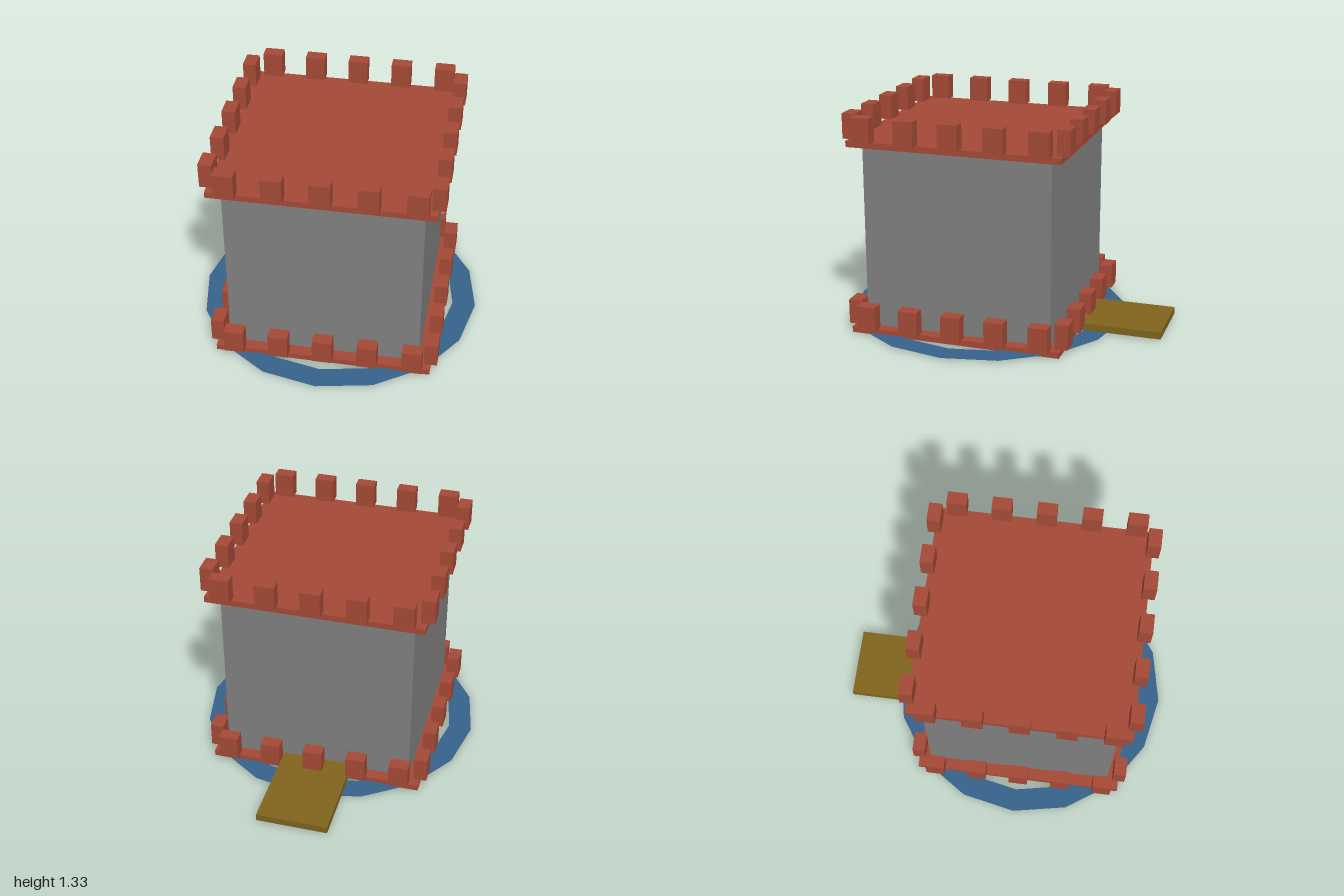
import * as THREE from 'three';

const CZ = 0.143; // tower centre along z

const mat = (color, extra = {}) =>
  new THREE.MeshStandardMaterial({ color, flatShading: true, ...extra });

// Box given by its centre, with y as the underside
function box(name, material, w, h, d, x, y, z) {
  const mesh = new THREE.Mesh(new THREE.BoxGeometry(w, h, d), material);
  mesh.name = name;
  mesh.position.set(x, y + h / 2, z);
  return mesh;
}

// Square slab with five merlons along each edge
function battlement(name, material) {
  const group = new THREE.Group();
  group.name = name;
  group.add(box('slab', material, 1.284, 0.036, 1.284, 0, 0, 0));
  const edge = 0.642, w = 0.117, t = 0.078, h = 0.149, y = 0.036;
  for (let i = -2; i <= 2; i++) {
    const along = 0.006 + i * 0.2655;
    for (const side of [-1, 1]) {
      group.add(box('merlon', material, w, h, t, along, y, side * edge));
      group.add(box('merlon', material, t, h, w, side * edge, y, along));
    }
  }
  return group;
}

export function createModel() {
  const model = new THREE.Group();
  model.name = 'castleTower';
  const brick = mat(0xa54a36);

  // Tower body
  model.add(box('tower', mat(0x808080), 1.14, 1.143, 1.14, 0, 0.002, CZ));

  // Battlements at the foot and the top
  const lower = battlement('lowerBattlement', brick);
  lower.position.set(0, 0, CZ);
  const upper = battlement('upperBattlement', brick);
  upper.position.set(0, 1.144, CZ);
  model.add(lower, upper);

  // Flat sixteen-sided moat
  const moat = new THREE.Mesh(
    new THREE.RingGeometry(0.714, 0.855, 16),
    mat(0x36628c, { side: THREE.DoubleSide })
  );
  moat.name = 'moat';
  moat.rotation.x = -Math.PI / 2;
  moat.position.set(0, 0.008, CZ);
  model.add(moat);

  // Lowered drawbridge at the back
  model.add(box('drawbridge', mat(0x80641c), 0.428, 0.043, 0.572, 0, 0.011, -0.714));

  return model;
}
